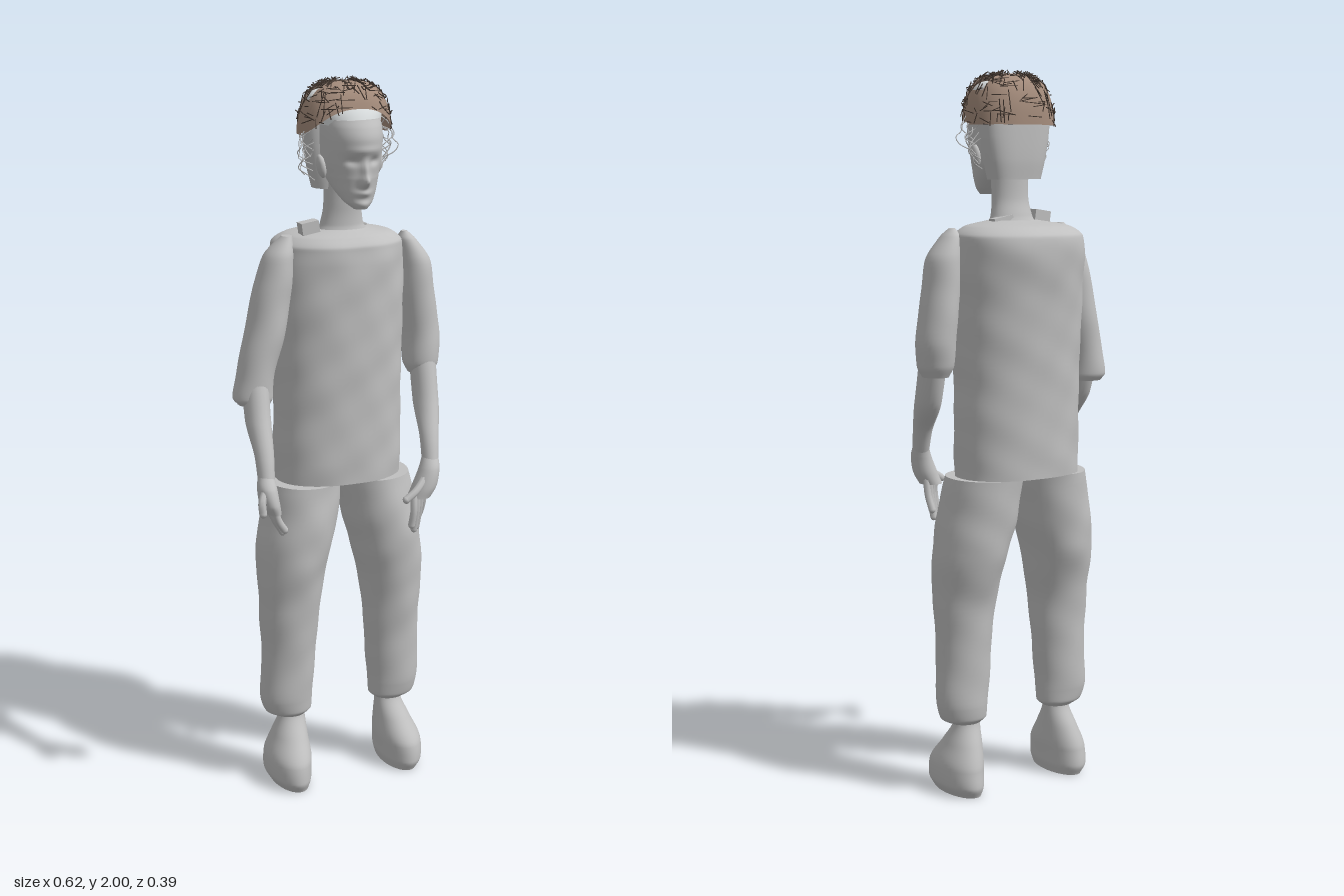
import * as THREE from 'three';
import { mergeGeometries } from 'three/addons/utils/BufferGeometryUtils.js';

const V = (x, y, z) => new THREE.Vector3(x, y, z);

// Smooth closed loft through horizontal rings [y, x, z, radiusX, radiusZ], bottom to top
function loft(rings, { seg = 36, steps = 40, power = 2, move = null } = {}) {
  const centres = new THREE.CatmullRomCurve3(rings.map(r => V(r[1], r[0], r[2])));
  const radii = new THREE.CatmullRomCurve3(rings.map(r => V(r[3], r[4], 0)));
  const pos = [], idx = [];
  const n = seg + 1;
  const bend = v => Math.sign(v) * Math.abs(v) ** (2 / power);
  const addRing = t => {
    const c = centres.getPoint(t), r = radii.getPoint(t);
    for (let i = 0; i < n; i++) {
      const a = ((i % seg) / seg) * Math.PI * 2;
      const p = V(c.x + r.x * bend(Math.cos(a)), c.y, c.z + r.y * bend(Math.sin(a)));
      if (move) move(p, c);
      pos.push(p.x, p.y, p.z);
    }
    return c;
  };
  for (let j = 0; j <= steps; j++) addRing(j / steps);
  for (let j = 0; j < steps; j++) for (let i = 0; i < seg; i++) {
    const a = j * n + i;
    idx.push(a, a + n, a + 1, a + 1, a + n, a + n + 1);
  }
  for (const t of [0, 1]) { // separate end caps
    const s = pos.length / 3, c = addRing(t);
    pos.push(c.x, c.y, c.z);
    for (let i = 0; i < seg; i++) idx.push(s + n, t ? s + i + 1 : s + i, t ? s + i : s + i + 1);
  }
  const g = new THREE.BufferGeometry();
  g.setAttribute('position', new THREE.Float32BufferAttribute(pos, 3));
  g.setIndex(idx);
  g.computeVertexNormals();
  // share the normal across the seam
  const nor = g.attributes.normal;
  for (let j = 0; j <= steps; j++) {
    const a = j * n, b = a + seg;
    const m = V().fromBufferAttribute(nor, a).add(V().fromBufferAttribute(nor, b)).normalize();
    nor.setXYZ(a, m.x, m.y, m.z); nor.setXYZ(b, m.x, m.y, m.z);
  }
  return g;
}

// Soft cloth wrinkles
const cloth = amount => (p, c) => {
  const w = 1 + amount * (Math.sin(p.y * 29 + p.x * 13) * Math.sin(p.x * 37 - p.z * 23) + 0.5 * Math.sin(p.y * 53 - p.x * 31));
  p.x = c.x + (p.x - c.x) * w;
  p.z = c.z + (p.z - c.z) * w;
};

// Tube through points, with a rounded tip
function digit(points, r) {
  const curve = new THREE.CatmullRomCurve3(points);
  const tip = points[points.length - 1];
  return mergeGeometries([
    new THREE.TubeGeometry(curve, 8, r, 8),
    new THREE.SphereGeometry(r, 8, 6).translate(tip.x, tip.y, tip.z)]);
}

// Point on the hair dome, slightly squared in plan
function dome(theta, phi, grow = 0) {
  const c = Math.max(0, Math.cos(phi)) ** 0.6;
  const sq = v => Math.sign(v) * Math.abs(v) ** 0.8;
  return V(0.02 + (0.124 + grow) * c * sq(Math.cos(theta)),
    1.85 + (0.144 + grow) * Math.max(0, Math.sin(phi)) ** 0.85,
    0.005 + (0.105 + grow) * c * sq(Math.sin(theta)));
}

// Highest angle of the hair shell at an azimuth: up to the open gap on the crown
function crownEdge(theta) {
  const s = Math.sin(theta), gap = s > 0 ? 0.02 : 0.035;
  const ratio = Math.min(1, gap / (0.105 * Math.max(1e-4, Math.abs(s)) ** 0.8));
  return Math.max(0.68, Math.acos(ratio ** (1 / 0.6)));
}
const rim = theta => { const s = Math.sin(theta); return s > 0 ? 0.05 + 0.45 * s * s : 0.02; };

// Half of the hair shell, from rim to crown edge
function hairShell(side) {
  const pos = [], idx = [], U = 32, W = 8;
  for (let i = 0; i <= U; i++) {
    const th = side * (i / U) * Math.PI;
    const low = rim(th), high = crownEdge(th);
    for (let k = 0; k <= W; k++) pos.push(...dome(th, low + (high - low) * k / W).toArray());
  }
  for (let i = 0; i < U; i++) for (let k = 0; k < W; k++) {
    const a = i * (W + 1) + k, b = a + W + 1;
    if (side > 0) idx.push(a, a + 1, b, b, a + 1, b + 1);
    else idx.push(a, b, a + 1, b, b + 1, a + 1);
  }
  const g = new THREE.BufferGeometry();
  g.setAttribute('position', new THREE.Float32BufferAttribute(pos, 3));
  g.setIndex(idx);
  g.computeVertexNormals();
  return g;
}

export function createModel() {
  const root = new THREE.Group();
  const mat = (name, color, side = THREE.FrontSide) =>
    Object.assign(new THREE.MeshStandardMaterial({ color, side }), { name });
  const grey = mat('grey', 0xc0c0c0);
  const pale = mat('pale grey', 0xdde1e2);
  const brown = mat('hair brown', 0xa28a7a, THREE.DoubleSide);
  const dark = mat('dark strand brown', 0x40352e);
  const add = (name, geo, m = grey) => {
    const mesh = new THREE.Mesh(geo, m);
    mesh.name = name;
    root.add(mesh);
  };
  let seed = 7;
  const rnd = () => (seed = (seed * 16807) % 2147483647) / 2147483647;

  // Shirt body
  add('shirt', loft([
    [0.9, 0.015, -0.03, 0.183, 0.128], [0.96, 0.015, -0.03, 0.184, 0.13], [1.1, 0.016, -0.032, 0.183, 0.132],
    [1.25, 0.017, -0.035, 0.184, 0.137], [1.4, 0.018, -0.04, 0.188, 0.143], [1.51, 0.02, -0.047, 0.187, 0.15],
    [1.56, 0.02, -0.047, 0.182, 0.146], [1.585, 0.02, -0.04, 0.15, 0.115], [1.6, 0.02, -0.02, 0.07, 0.06],
  ], { seg: 64, steps: 70, power: 2.2, move: cloth(0.01) }));
  add('collarTab', new THREE.BoxGeometry(0.05, 0.05, 0.035).rotateZ(0.15).translate(-0.08, 1.6, 0));
  add('backCollarTab', new THREE.BoxGeometry(0.06, 0.03, 0.03).rotateZ(-0.2).translate(0.07, 1.595, -0.04));

  // Trouser legs and feet, mirrored about the hip centre
  for (const [name, s] of [['right', -1], ['left', 1]]) {
    const place = rings => rings.map(r => [r[0], 0.011 + s * r[1], r[2], r[3], r[4]]);
    add(name + 'TrouserLeg', loft(place([
      [0.2, 0.157, 0, 0.045, 0.04], [0.215, 0.163, 0, 0.068, 0.056], [0.26, 0.168, 0, 0.076, 0.064],
      [0.4, 0.161, 0.002, 0.079, 0.072], [0.55, 0.157, 0.003, 0.088, 0.088], [0.68, 0.145, -0.006, 0.101, 0.115],
      [0.78, 0.125, -0.01, 0.107, 0.122], [0.9, 0.105, -0.02, 0.105, 0.118],
    ]), { steps: 50, move: cloth(0.016) }));
    add(name + 'Foot', loft(place([
      [0, 0.172, 0.02, 0.048, 0.1], [0.03, 0.176, 0.02, 0.06, 0.112], [0.08, 0.174, 0.02, 0.062, 0.105],
      [0.14, 0.163, 0.008, 0.05, 0.07], [0.2, 0.153, 0, 0.038, 0.036], [0.24, 0.155, 0, 0.038, 0.034],
    ])));
  }

  // Sleeves
  add('rightSleeve', loft([
    [1.14, -0.25, 0.012, 0.045, 0.045], [1.16, -0.252, 0.01, 0.056, 0.055], [1.22, -0.243, 0.008, 0.052, 0.056],
    [1.32, -0.216, 0.005, 0.055, 0.06], [1.45, -0.188, 0, 0.053, 0.06], [1.54, -0.168, 0, 0.04, 0.05],
    [1.59, -0.145, 0, 0.014, 0.02]], { move: cloth(0.02) }));
  add('leftSleeve', loft([
    [1.18, 0.253, 0.01, 0.036, 0.04], [1.21, 0.255, 0.008, 0.05, 0.055], [1.28, 0.257, 0, 0.053, 0.06],
    [1.4, 0.242, 0, 0.051, 0.06], [1.5, 0.232, 0, 0.045, 0.055], [1.56, 0.21, 0, 0.024, 0.034],
    [1.58, 0.204, 0, 0.008, 0.012]], { move: cloth(0.02) }));

  // Forearms and palms
  add('rightForearm', loft([[0.95, -0.265, 0.14, 0.022, 0.026], [1.02, -0.26, 0.112, 0.026, 0.03],
    [1.1, -0.256, 0.06, 0.034, 0.045], [1.2, -0.248, 0.02, 0.036, 0.045]], { seg: 20 }));
  add('leftForearm', loft([[0.95, 0.222, 0.145, 0.022, 0.026], [1.02, 0.232, 0.115, 0.026, 0.03],
    [1.1, 0.248, 0.06, 0.034, 0.045], [1.23, 0.256, 0.015, 0.036, 0.045]], { seg: 20 }));
  add('rightPalm', loft([[0.87, -0.252, 0.152, 0.02, 0.036], [0.9, -0.262, 0.152, 0.026, 0.042],
    [0.94, -0.267, 0.148, 0.026, 0.036], [0.97, -0.265, 0.135, 0.021, 0.024]], { seg: 20 }));
  add('leftPalm', loft([[0.86, 0.185, 0.152, 0.032, 0.034], [0.89, 0.2, 0.154, 0.034, 0.036],
    [0.94, 0.217, 0.15, 0.028, 0.032], [0.97, 0.225, 0.138, 0.022, 0.024]], { seg: 20 }));

  // Fingers and thumbs: base, knuckle, tip
  const rightFingers = [], leftFingers = [];
  for (let i = 0; i < 4; i++) {
    const z = 0.13 + i * 0.016, len = [0.035, 0.05, 0.055, 0.045][i];
    rightFingers.push(digit([V(-0.257, 0.89, z), V(-0.246, 0.87 - len * 0.4, z), V(-0.229, 0.87 - len, z)], 0.01));
    const x = 0.21 - i * 0.017;
    leftFingers.push(digit([V(x, 0.88, 0.135 + i * 0.012), V(x - 0.002, 0.83, 0.128 + i * 0.017),
      V(x - 0.007, [0.79, 0.765, 0.765, 0.785][i], 0.115 + i * 0.02)], 0.01));
  }
  rightFingers.push(digit([V(-0.275, 0.94, 0.16), V(-0.293, 0.91, 0.178), V(-0.292, 0.88, 0.182)], 0.011));
  leftFingers.push(digit([V(0.2, 0.92, 0.165), V(0.16, 0.885, 0.183), V(0.13, 0.865, 0.186)], 0.011));
  add('rightFingers', mergeGeometries(rightFingers));
  add('leftFingers', mergeGeometries(leftFingers));

  // Neck
  add('neck', loft([[1.57, 0.02, -0.015, 0.085, 0.06], [1.61, 0.02, -0.012, 0.062, 0.045],
    [1.66, 0.02, -0.005, 0.054, 0.04], [1.76, 0.02, 0, 0.054, 0.045]], { seg: 28 }));

  // Head with nose, eye sockets, brow, lips and chin raised by bumps [x, y, width, height, depth]
  const bumps = [[0, 1.742, 0.013, 0.016, 0.026], [0, 1.77, 0.01, 0.022, 0.014], [-0.03, 1.795, 0.017, 0.011, -0.01],
    [0.03, 1.795, 0.017, 0.011, -0.01], [0, 1.823, 0.05, 0.01, 0.005], [0, 1.71, 0.02, 0.009, 0.009],
    [0, 1.68, 0.02, 0.01, 0.006]];
  add('head', loft([
    [1.668, 0.022, 0.108, 0.018, 0.018], [1.685, 0.022, 0.094, 0.038, 0.036], [1.715, 0.022, 0.07, 0.056, 0.063],
    [1.75, 0.022, 0.048, 0.069, 0.089], [1.79, 0.022, 0.045, 0.077, 0.096], [1.85, 0.022, 0.045, 0.08, 0.106],
    [1.88, 0.022, 0.042, 0.08, 0.1], [1.9, 0.022, 0.036, 0.078, 0.094],
  ], { seg: 80, steps: 80, move: (p, c) => {
    if (p.z < c.z) return;
    for (const [x, y, w, h, d] of bumps)
      p.z += d * Math.exp(-(((p.x - 0.022 - x) / w) ** 2) - ((p.y - y) / h) ** 2);
  } }));
  for (const s of [-1, 1]) {
    add(s < 0 ? 'rightEar' : 'leftEar',
      new THREE.SphereGeometry(1, 14, 10).scale(0.012, 0.032, 0.018).rotateZ(-s * 0.2).translate(0.022 + s * 0.082, 1.775, 0.038));
  }

  // Rounded back of the head, and pale scalp between the face and the hair
  add('backOfHead', loft([[1.71, 0.02, -0.025, 0.078, 0.044], [1.76, 0.02, -0.026, 0.09, 0.049],
    [1.82, 0.02, -0.027, 0.101, 0.05], [1.88, 0.02, -0.027, 0.106, 0.05], [1.94, 0.02, -0.025, 0.1, 0.048]], { power: 2.7 }));
  add('scalp', loft([[1.885, 0.021, 0.025, 0.086, 0.095], [1.92, 0.021, 0.015, 0.098, 0.091],
    [1.95, 0.02, 0.005, 0.1, 0.082], [1.968, 0.02, 0, 0.085, 0.06], [1.976, 0.02, 0, 0.05, 0.04]], { steps: 20 }), pale);

  // Hair shell and loose dark strands, crossing along and around the dome
  add('frontHair', hairShell(1), brown);
  add('backHair', hairShell(-1), brown);
  const strands = [];
  for (let i = 0; i < 250; i++) {
    const th = rnd() * Math.PI * 2, low = rim(th);
    const ph = low + rnd() * (1.4 - low), along = i % 2;
    const a = dome(th, ph, 0.001);
    const turn = along ? 0.08 : 0.4, rise = along ? 0.45 : 0.08;
    const b = dome(th + (rnd() - 0.5) * turn * 2, Math.min(1.5, Math.max(low, ph + (rnd() - 0.5) * rise * 2)), 0.002 + rnd() * 0.004);
    const o = new THREE.Object3D();
    o.position.copy(a).lerp(b, 0.5);
    o.lookAt(b);
    o.updateMatrix();
    strands.push(new THREE.BoxGeometry(0.002, 0.002, a.distanceTo(b) + 0.01).applyMatrix4(o.matrix));
  }
  add('hairStrands', mergeGeometries(strands), dark);

  // Curling wisps beside the face
  for (const s of [-1, 1]) {
    const wisps = [];
    for (let i = 0; i < 7; i++) {
      const y = 1.9 - i * 0.013, z = -0.01 + rnd() * 0.05, points = [];
      for (let k = 0; k < 6; k++)
        points.push(V(0.022 + s * (0.095 + 0.03 * Math.sin(k * 0.6) + (rnd() - 0.3) * 0.025), y - k * 0.017, z + (rnd() - 0.5) * 0.02));
      wisps.push(new THREE.TubeGeometry(new THREE.CatmullRomCurve3(points), 20, 0.0015, 4));
    }
    add(s < 0 ? 'rightWisps' : 'leftWisps', mergeGeometries(wisps));
  }
  return root;
}
